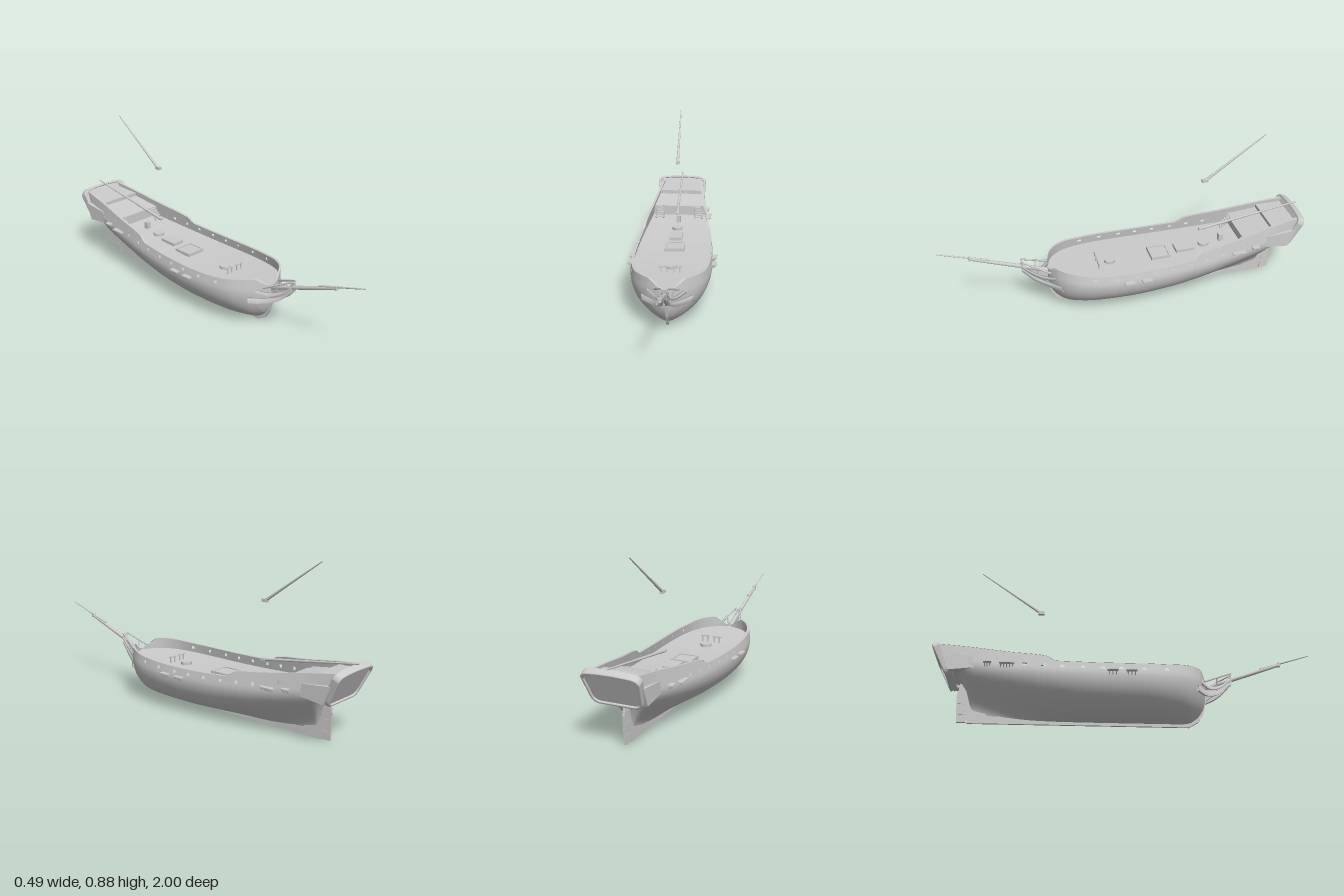
import * as THREE from 'three';

const mat = new THREE.MeshStandardMaterial({ color: 0xcccccc, side: THREE.DoubleSide });

// Monotone smooth interpolation through [z, value] pairs sorted by z
function table(p) {
  const d = p.slice(1).map((q, i) => (q[1] - p[i][1]) / (q[0] - p[i][0]));
  const m = p.map((_, i) => {
    if (i === 0) return d[0];
    if (i === p.length - 1) return d[i - 1];
    return d[i - 1] * d[i] <= 0 ? 0 : (2 * d[i - 1] * d[i]) / (d[i - 1] + d[i]);
  });
  return (z) => {
    let i = 0;
    while (i < p.length - 2 && z > p[i + 1][0]) i++;
    const h = p[i + 1][0] - p[i][0], t = THREE.MathUtils.clamp((z - p[i][0]) / h, 0, 1);
    const a = t * t * (3 - 2 * t);
    return p[i][1] * (1 - a) + p[i + 1][1] * a + h * (m[i] * t * (1 - t) ** 2 - m[i + 1] * t * t * (1 - t));
  };
}

// Hull lines: half breadth, underside, section fullness and sheer
const breadth = table([[-0.93, 0.125], [-0.8, 0.145], [-0.6, 0.172], [-0.4, 0.197], [-0.2, 0.213], [0, 0.22], [0.1, 0.217],
  [0.2, 0.205], [0.28, 0.186], [0.34, 0.155], [0.38, 0.12], [0.41, 0.075], [0.425, 0.035], [0.43, 0]]);
const bottom = table([[-0.93, 0.235], [-0.86, 0.2], [-0.82, 0.015], [0.3, 0.015], [0.34, 0.02], [0.38, 0.045], [0.41, 0.085], [0.425, 0.125], [0.43, 0.16]]);
const fullness = table([[-0.93, 0.6], [-0.86, 1], [-0.82, 4], [-0.75, 3], [-0.6, 1.8], [-0.4, 1], [-0.2, 0.65], [0, 0.55], [0.2, 0.55], [0.35, 0.7], [0.43, 0.8]]);
const sheer = table([[-0.93, 0.392], [-0.6, 0.335], [-0.4, 0.305], [-0.35, 0.275], [0, 0.263], [0.2, 0.268], [0.395, 0.285], [0.43, 0.235]]);
const deckY = (z) => 0.21 + 0.1 * z * z;
const rake = (z, y) => z - THREE.MathUtils.clamp((-0.78 - z) / 0.13, 0, 1) * (y - 0.31) * 0.5;

function halfWidth(z, y) {
  const dy = deckY(z), b = bottom(z);
  if (y >= dy) return breadth(z) * (1 - 0.83 * (y - dy));
  const t = THREE.MathUtils.clamp((y - b) / (dy - b), 0, 1);
  return breadth(z) * (1 - (1 - t) ** 2) ** fullness(z);
}

// Surface from a grid of points, optionally leaving cells open
function grid(nu, nv, point, skip = () => false) {
  const pos = [], idx = [];
  for (let i = 0; i < nu; i++) for (let j = 0; j < nv; j++) pos.push(...point(i, j));
  for (let i = 0; i < nu - 1; i++) for (let j = 0; j < nv - 1; j++) {
    if (skip(i, j)) continue;
    const a = i * nv + j, b = a + nv;
    idx.push(a, b, a + 1, b, b + 1, a + 1);
  }
  const g = new THREE.BufferGeometry();
  g.setAttribute('position', new THREE.Float32BufferAttribute(pos, 3));
  g.setIndex(idx);
  g.computeVertexNormals();
  return g;
}

// Flat board cut in the z-y plane, centred on x
function board(pts, thick, x = 0) {
  const shape = new THREE.Shape(pts.map((p) => new THREE.Vector2(...p)));
  return new THREE.ExtrudeGeometry(shape, { depth: thick, bevelEnabled: false }).rotateY(-Math.PI / 2).translate(x + thick / 2, 0, 0);
}

// Tapered pole between two points
function spar(a, b, ra, rb, sides = 10) {
  const A = new THREE.Vector3(...a), B = new THREE.Vector3(...b), d = B.clone().sub(A);
  const g = new THREE.CylinderGeometry(rb, ra, d.length(), sides);
  g.applyQuaternion(new THREE.Quaternion().setFromUnitVectors(new THREE.Vector3(0, 1, 0), d.normalize()));
  return g.translate(...A.add(B).multiplyScalar(0.5).toArray());
}

const box = (w, h, d, x, y, z) => new THREE.BoxGeometry(w, h, d).translate(x, y, z);

// Curved plank of rectangular section following a path
function plank(pts, height, thick) {
  const c = new THREE.CatmullRomCurve3(pts.map((p) => new THREE.Vector3(...p)));
  const corner = [[-1, -1], [1, -1], [1, 1], [-1, 1], [-1, -1]];
  return grid(21, 5, (i, j) => {
    const p = c.getPoint(i / 20), t = c.getTangent(i / 20), l = Math.hypot(t.x, t.z), [u, v] = corner[j];
    const taper = 1 - 0.4 * (i / 20);
    return [p.x + (u * thick * t.z) / l / 2, p.y + (v * height * taper) / 2, p.z - (u * thick * t.x) / l / 2];
  }).toNonIndexed();
}

function roundedTablet(w, h, r) {
  const s = new THREE.Shape();
  const q = w * 0.86;
  s.moveTo(-q + r, -h).lineTo(q - r, -h).quadraticCurveTo(q, -h, q + 0.005, -h + r);
  s.lineTo(w, h - r).quadraticCurveTo(w - 0.005, h - 0.01, w - r, h - 0.006);
  s.quadraticCurveTo(0, h + 0.006, -w + r, h - 0.006);
  s.quadraticCurveTo(-w + 0.005, h - 0.01, -w, h - r).lineTo(-q - 0.005, -h + r).quadraticCurveTo(-q, -h, -q + r, -h);
  return s;
}

export function createModel() {
  const ship = new THREE.Group();
  const add = (name, geo) => {
    if (!geo.attributes.normal) geo.computeVertexNormals();
    const m = new THREE.Mesh(geo, mat);
    m.name = name;
    ship.add(m);
    return m;
  };

  // Hull stations, with an extra pair at every gun port
  const ports = [0.21, 0.095, -0.02, -0.115, -0.215, -0.32, -0.415, -0.51];
  const inPort = (z) => ports.some((p) => Math.abs(z - p) < 0.012);
  let zs = [-0.35, -0.4, 0.395, 0.405, 0.415, 0.42, 0.425, 0.428, 0.43];
  for (let z = -0.93; z < 0.4; z += 0.02) zs.push(z);
  zs = zs.filter((z) => !inPort(z)).concat(ports.flatMap((p) => [p - 0.011, p + 0.011])).sort((a, b) => a - b);
  const LOW = 18;
  const rowY = (z, j) => {
    const dy = deckY(z), b = bottom(z), h = sheer(z) - dy;
    if (j <= LOW) return b + (dy - b) * (j / LOW) ** 1.5;
    return dy + [Math.min(0.017, h / 3), Math.min(0.037, (h * 2) / 3), h][j - LOW - 1];
  };
  const isPort = (i, j) => j === 1 && inPort((zs[i] + zs[i + 1]) / 2);
  const skin = (z, j, s, inset) => {
    const y = rowY(z, j);
    return [s * Math.max(0, halfWidth(z, y) - inset), y, rake(z, y)];
  };

  for (const s of [1, -1]) {
    const side = s > 0 ? 'left' : 'right';
    add(side + 'Hull', grid(zs.length, LOW + 4, (i, j) => skin(zs[i], j, s, 0), (i, j) => isPort(i, j - LOW)));
    add(side + 'InnerBulwark', grid(zs.length, 4, (i, j) => skin(zs[i], j + LOW, s, 0.008), isPort));
    add(side + 'RailCap', grid(zs.length, 2, (i, j) => skin(zs[i], LOW + 3, s, j ? 0.011 : -0.003)));

    // Shroud channels with hanging chain plates
    for (const [z, y, len] of [[0.03, 0.218, 0.055], [-0.065, 0.218, 0.055], [-0.6, 0.264, 0.075], [-0.7, 0.274, 0.04]]) {
      const x = s * halfWidth(z, y);
      add(side + 'Channel', box(0.03, 0.006, len, x + s * 0.01, y, z));
      const n = Math.round(len / 0.016);
      for (let k = 0; k < n; k++) {
        const pz = z + ((k + 0.5) / n - 0.5) * len;
        add(side + 'ChainPlate', spar([x + s * 0.021, y, pz], [x, y - 0.022, pz], 0.004, 0.002, 5));
      }
    }

    // Quarter gallery
    add(side + 'QuarterGallery', board([[-0.765, 0.25], [-0.9, 0.235], [-0.94, 0.33], [-0.78, 0.315]], 0.05, s * 0.122));

    // Head timbers
    add(side + 'LowerCheek', plank([[s * 0.128, 0.17, 0.375], [s * 0.065, 0.166, 0.43], [s * 0.025, 0.19, 0.5], [s * 0.01, 0.255, 0.57]], 0.03, 0.012));
    add(side + 'UpperCheek', plank([[s * 0.095, 0.218, 0.4], [s * 0.05, 0.204, 0.45], [s * 0.022, 0.225, 0.51], [s * 0.01, 0.275, 0.572]], 0.018, 0.01));
    add(side + 'HeadRail', spar([s * 0.06, 0.235, 0.42], [s * 0.015, 0.305, 0.57], 0.006, 0.004, 6));
    add(side + 'HeadPost', spar([s * 0.015, 0.305, 0.567], [s * 0.008, 0.24, 0.565], 0.003, 0.003, 6));
    add(side + 'HeadPost', spar([s * 0.04, 0.265, 0.49], [s * 0.025, 0.2, 0.49], 0.003, 0.003, 6));

    // Ladder to the raised deck
    for (let k = 0; k < 5; k++) add(side + 'LadderStep', box(0.042, 0.005, 0.016, s * 0.116, 0.256 + k * 0.011, -0.598 - k * 0.011));
    for (const x of [0.094, 0.138]) add(side + 'LadderSide', spar([s * x, 0.25, -0.59], [s * x, 0.31, -0.65], 0.004, 0.004, 4));

    // Pin rack on the fore deck
    for (const x of [0.02, 0.05]) add(side + 'RackPost', box(0.006, 0.04, 0.006, s * x, 0.23, 0.155));
    add(side + 'RackBar', box(0.05, 0.006, 0.009, s * 0.035, 0.245, 0.155));
  }

  // Decks
  const deck = (name, z0, z1, height) => add(name, grid(41, 2, (i, j) => {
    const z = z0 + ((z1 - z0) * i) / 40, y = height(z);
    return [(j ? -1 : 1) * Math.max(0, halfWidth(z, y) - 0.002), y, rake(z, y)];
  }));
  const quarterY = (z) => 0.307 - 0.18 * (z + 0.65), poopY = (z) => 0.355 - 0.08 * (z + 0.81);
  deck('mainDeck', -0.66, 0.429, deckY);
  deck('quarterDeck', -0.82, -0.65, quarterY);
  deck('poopDeck', -0.93, -0.81, poopY);
  add('quarterBulkhead', box(0.32, 0.062, 0.008, 0, 0.276, -0.654));
  add('quarterBeam', box(0.2, 0.01, 0.014, 0, 0.305, -0.65));
  add('poopBulkhead', box(0.27, 0.024, 0.008, 0, 0.344, -0.814));

  // Keel with cutwater, and the rudder
  add('keelAndStem', board([[-0.8, 0], [0.34, 0], [0.39, 0.03], [0.418, 0.08], [0.435, 0.15], [0.47, 0.178], [0.53, 0.212], [0.565, 0.245], [0.575, 0.3],
    [0.56, 0.3], [0.545, 0.26], [0.5, 0.235], [0.42, 0.225], [0.4, 0.1], [0.33, 0.04], [-0.7, 0.04], [-0.8, 0.23], [-0.845, 0.24]], 0.012));
  add('rudder', board([[-0.806, 0.005], [-0.855, 0.005], [-0.862, 0.15], [-0.853, 0.185], [-0.847, 0.25], [-0.838, 0.25], [-0.832, 0.19]], 0.011));
  for (const y of [0.05, 0.11, 0.17]) add('rudderHinge', box(0.016, 0.006, 0.04, 0, y, -0.82 - y * 0.12));

  // Raked stern tablet with a raised rim
  const rim = roundedTablet(0.15, 0.1, 0.04);
  rim.holes.push(roundedTablet(0.135, 0.086, 0.034));
  const tilt = (g) => g.rotateX(-0.46).translate(0, 0.312, -0.937);
  add('sternPanel', tilt(new THREE.ExtrudeGeometry(roundedTablet(0.138, 0.088, 0.035), { depth: 0.022, bevelEnabled: false }).translate(0, 0, -0.011)));
  add('sternRim', tilt(new THREE.ExtrudeGeometry(rim, { depth: 0.028, bevelThickness: 0.006, bevelSize: 0.004, bevelOffset: -0.004, bevelSegments: 2 }).translate(0, 0, -0.014)));

  // Deck fittings
  for (const z of [0.085, -0.455]) add('mastCollar', new THREE.CylinderGeometry(0.03, 0.03, 0.016, 24).translate(0, deckY(z) + 0.008, z));
  add('hatchCover', box(0.07, 0.018, 0.105, 0, deckY(-0.34) + 0.009, -0.34));
  const gy = deckY(-0.195) + 0.008;
  for (const s of [1, -1]) {
    add('gratingFrame', box(0.01, 0.018, 0.11, s * 0.051, gy, -0.195));
    add('gratingFrame', box(0.112, 0.018, 0.01, 0, gy, -0.195 + s * 0.05));
  }
  add('grating', box(0.1, 0.008, 0.1, 0, gy, -0.195));
  add('binnacle', box(0.026, 0.04, 0.026, 0, deckY(-0.555) + 0.02, -0.555));

  // Bowsprit and its extension
  add('bowsprit', spar([0, 0.21, 0.4], [0, 0.368, 0.84], 0.013, 0.008));
  add('jibBoom', spar([0, 0.34, 0.73], [0, 0.425, 1], 0.006, 0.003));
  add('bowspritCap', box(0.018, 0.022, 0.01, 0, 0.368, 0.835));

  // Spanker boom and the gaff hanging above it
  add('boom', spar([0, 0.336, -0.43], [0, 0.42, -0.995], 0.008, 0.004));
  add('boomJaws', box(0.018, 0.012, 0.03, 0, 0.337, -0.438));
  add('gaff', spar([0, 0.645, -0.45], [0, 0.876, -0.775], 0.008, 0.003));
  add('gaffJaws', box(0.018, 0.016, 0.034, 0, 0.643, -0.445));
  return ship;
}
